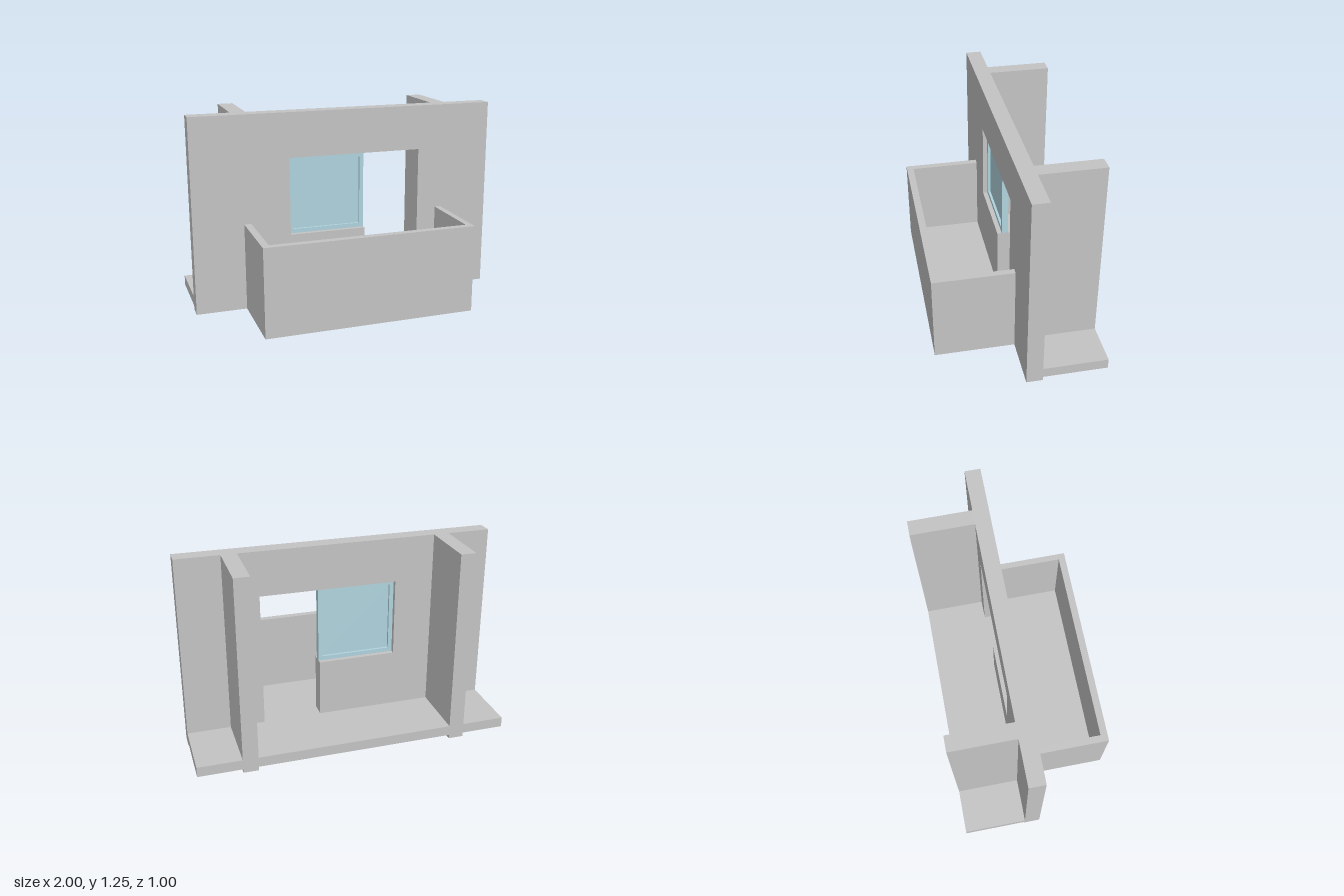
import * as THREE from 'three';

export function createModel() {
  const model = new THREE.Group();
  model.name = 'balconySection';
  const concrete = new THREE.MeshStandardMaterial({ color: 0xc5c4c5 });
  concrete.name = 'concrete grey';
  const glass = new THREE.MeshStandardMaterial({ color: 0xb0d4de });
  glass.name = 'glass blue';

  // Box given by its lower and upper limits on each axis
  function box(name, [x0, x1], [y0, y1], [z0, z1], material = concrete) {
    const mesh = new THREE.Mesh(new THREE.BoxGeometry(x1 - x0, y1 - y0, z1 - z0), material);
    mesh.position.set((x0 + x1) / 2, (y0 + y1) / 2, (z0 + z1) / 2);
    mesh.name = name;
    model.add(mesh);
  }

  // Flat panel with a cut-out, extruded forward from z0 to z1
  function panel(name, outline, hole, z0, z1, material) {
    const points = (list) => list.map(([x, y]) => new THREE.Vector2(x, y));
    const shape = new THREE.Shape(points(outline));
    shape.holes.push(new THREE.Path(points(hole)));
    const geometry = new THREE.ExtrudeGeometry(shape, { depth: z1 - z0, bevelEnabled: false });
    const mesh = new THREE.Mesh(geometry, material);
    mesh.position.z = z0;
    mesh.name = name;
    model.add(mesh);
  }
  const rect = (x0, x1, y0, y1) => [[x0, y0], [x1, y0], [x1, y1], [x0, y1]];

  const floorTop = 0.09, wallTop = 1.255, sill = 0.466, lintel = 0.967;

  // Facade with one joined opening for the window and the door
  panel('facadeWall', rect(-1, 1, 0, wallTop), [
    [-0.377, sill], [0.125, sill], [0.125, floorTop],
    [0.5, floorTop], [0.5, lintel], [-0.377, lintel],
  ], -0.1, 0, concrete);

  // Cross walls behind the facade
  box('rightCrossWall', [-0.724, -0.627], [0, wallTop], [-0.5, -0.1]);
  box('leftCrossWall', [0.625, 0.722], [0, wallTop], [-0.5, -0.1]);

  // Floor slab in the three bays between the walls
  for (const [name, span] of [
    ['rightFloor', [-1, -0.724]], ['middleFloor', [-0.627, 0.625]], ['leftFloor', [0.722, 1]],
  ]) box(name, span, [0.025, floorTop], [-0.5, -0.1]);

  // Balcony floor and parapet
  const railTop = 0.563;
  box('balconyFloor', [-0.632, 0.63], [0, 0.05], [0, 0.455]);
  box('parapetFront', [-0.677, 0.67], [0, railTop], [0.455, 0.5]);
  box('parapetRight', [-0.677, -0.632], [0, railTop], [0, 0.455]);
  box('parapetLeft', [0.63, 0.67], [0, railTop], [0, 0.455]);

  // Window frame and recessed pane
  panel('windowFrame', rect(-0.377, 0.125, sill, lintel),
    rect(-0.35, 0.098, sill + 0.027, lintel - 0.027), -0.07, -0.03, glass);
  box('windowPane', [-0.35, 0.098], [sill + 0.027, lintel - 0.027], [-0.054, -0.046], glass);

  return model;
}
